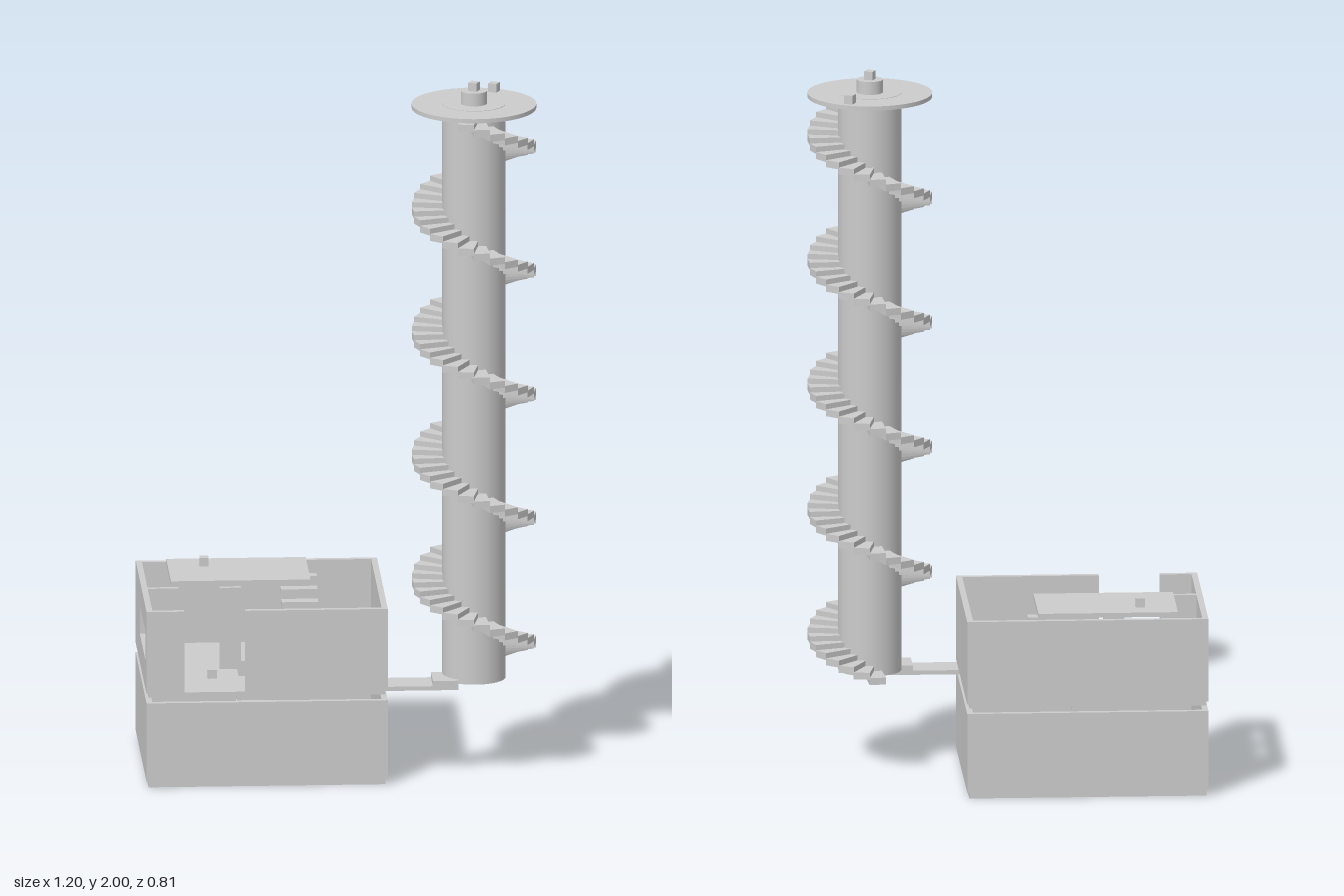
import * as THREE from 'three';

const mat = new THREE.MeshStandardMaterial({ color: 0xcccccc, flatShading: true });
const smooth = new THREE.MeshStandardMaterial({ color: 0xcccccc });

function add(parent, name, geometry, material = mat) {
  const mesh = new THREE.Mesh(geometry, material);
  mesh.name = name;
  parent.add(mesh);
  return mesh;
}

// Box given by its limits on each axis
function block(parent, name, x0, x1, y0, y1, z0, z1) {
  const mesh = add(parent, name, new THREE.BoxGeometry(x1 - x0, y1 - y0, z1 - z0));
  mesh.position.set((x0 + x1) / 2, (y0 + y1) / 2, (z0 + z1) / 2);
  return mesh;
}

function cylinder(parent, name, r, y0, y1) {
  const mesh = add(parent, name, new THREE.CylinderGeometry(r, r, y1 - y0, 48), smooth);
  mesh.position.y = (y0 + y1) / 2;
  return mesh;
}

// Small cube standing on height y
function cube(parent, name, x, y, z, s = 0.025) {
  block(parent, name, x - s / 2, x + s / 2, y, y + s, z - s / 2, z + s / 2);
}

const W = 0.339, D = 0.285, T = 0.017; // half width, half depth, wall thickness

function buildHouse() {
  const house = new THREE.Group();
  house.name = 'house';
  house.position.x = -0.172;
  house.rotation.y = 0.449;

  // Lower storey: plinth and four closed walls
  block(house, 'lowerFloor', -W + 0.006, W - 0.006, 0, 0.02, -D + 0.006, D - 0.006);
  for (const s of [-1, 1]) {
    const x = s * (W - T / 2), z = s * (D - T / 2);
    block(house, 'lowerSideWall', x - T / 2, x + T / 2, 0.018, 0.245, -D, D);
    block(house, 'lowerLongWall', -W + T, W - T, 0.018, 0.245, z - T / 2, z + T / 2);
  }

  // Upper floor with a stairwell
  const floor = new THREE.Shape();
  const a = W - 0.006, b = D - 0.006;
  floor.moveTo(-a, -b).lineTo(a, -b).lineTo(a, b).lineTo(-a, b).closePath();
  const well = new THREE.Path();
  well.moveTo(-0.071, -0.105).lineTo(-0.071, 0.06).lineTo(0.029, 0.06).lineTo(0.029, -0.105).closePath();
  floor.holes.push(well);
  const slab = add(house, 'upperFloor', new THREE.ExtrudeGeometry(floor, { depth: 0.014, bevelEnabled: false }));
  slab.rotation.x = -Math.PI / 2;
  slab.position.y = 0.26;

  // Upper walls: solid right and back, doorway in front, window on the left
  const y0 = 0.272, y1 = 0.51;
  block(house, 'rightWall', W - T, W, y0, y1, -D, D);
  block(house, 'backWall', -W + T, W - T, y0, y1, -D, -D + T);
  block(house, 'frontWallLeft', -W + T, -0.233, y0, y1, D - T, D);
  block(house, 'frontWallRight', -0.062, W - T, y0, y1, D - T, D);
  block(house, 'windowWallBack', -W, -W + T, y0, y1, -D, -0.07);
  block(house, 'windowWallFront', -W, -W + T, y0, y1, 0.225, D);
  block(house, 'windowSill', -W, -W + T, y0, 0.355, -0.07, 0.225);
  block(house, 'windowLintel', -W, -W + T, 0.44, y1, -0.07, 0.225);

  // Inner partition with a doorway
  block(house, 'partitionLeft', -W + T, -0.235, y0, y1, 0.012, 0.028);
  block(house, 'partitionRight', -0.12, -0.06, y0, y1, 0.012, 0.028);

  // Stairs between the storeys, then up to the roof
  for (let i = 0; i < 8; i++) {
    const z = 0.105 - i * 0.035, down = 0.26 - i * 0.03, up = 0.3 + i * 0.028;
    block(house, 'lowerStair', -0.071, 0.029, down - 0.015, down, z - 0.035, z);
    block(house, 'upperStair', 0.06, 0.163, up - 0.015, up, z - 0.037, z);
  }

  // Roof panel over the back room, and loose fittings
  block(house, 'roofPanel', -0.255, 0.137, 0.51, 0.523, -0.251, -0.002);
  block(house, 'wallBracket', -W + T, -0.255, 0.355, 0.44, -0.173, -0.113);
  cube(house, 'roofKnob', -0.153, 0.523, -0.174);
  cube(house, 'floorKnob', -0.146, 0.274, 0.119);
  cube(house, 'floorKnob', -0.26, 0.274, 0.118);

  // Bridge to the tower with its first step
  block(house, 'bridge', W - 0.006, 0.54, 0.26, 0.272, 0.14, 0.24);
  block(house, 'bridgeStep', 0.468, 0.54, 0.272, 0.287, 0.14, 0.24);
  return house;
}

function buildTower() {
  const tower = new THREE.Group();
  tower.name = 'tower';
  tower.position.set(0.424, 0, -0.118);
  cylinder(tower, 'column', 0.089, 0.275, 1.939);
  cylinder(tower, 'topPlatform', 0.175, 1.926, 1.938);
  cylinder(tower, 'topHub', 0.037, 1.938, 1.976);
  cube(tower, 'hubKnob', 0, 1.975, 0);
  cube(tower, 'platformKnob', 0, 1.938, -0.146);

  // Spiral stair climbing from +x towards +z
  const perTurn = 24, pitch = 0.359;
  const tread = new THREE.BoxGeometry(0.092, 0.02, 0.046);
  tread.translate(0.127, 0, 0);
  for (let i = -8; i <= 101; i++) {
    const step = add(tower, 'spiralTread', tread);
    step.rotation.y = -(i / perTurn) * Math.PI * 2;
    step.position.y = 0.4 + (i / perTurn) * pitch;
  }
  return tower;
}

export function createModel() {
  const model = new THREE.Group();
  model.name = 'towerHouse';
  model.add(buildHouse(), buildTower());
  return model;
}
